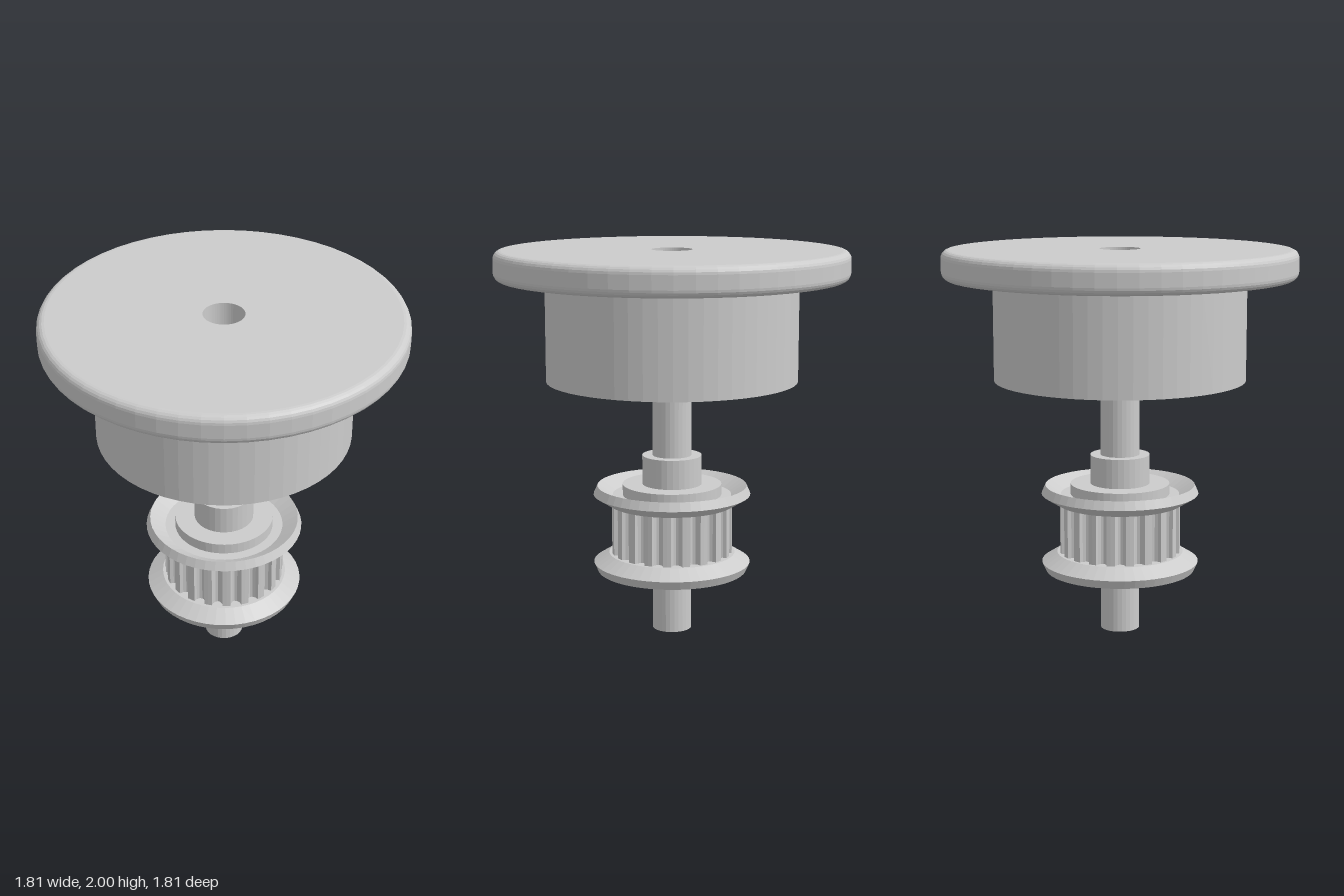
import * as THREE from 'three';

const material = new THREE.MeshStandardMaterial({ color: 0xcccccc, flatShading: true });

// Solid of revolution from [radius, height] points, listed counterclockwise
function turned(name, points, segments) {
  const profile = points.map(([r, y]) => new THREE.Vector2(r, y));
  const mesh = new THREE.Mesh(new THREE.LatheGeometry(profile, segments), material);
  mesh.name = name;
  return mesh;
}

// Points of a quarter-round edge
function fillet(r, y, radius, startAngle, steps = 5) {
  return Array.from({ length: steps + 1 }, (_, i) => {
    const a = startAngle + (i / steps) * Math.PI / 2;
    return [r + radius * Math.cos(a), y + radius * Math.sin(a)];
  });
}

// Toothed belt wheel: a disc with rounded grooves cut around its edge
function createToothedWheel(radius, height, teeth) {
  const shape = new THREE.Shape();
  const pitch = Math.PI * 2 / teeth;
  const halfGroove = pitch * 0.29;
  const depth = 0.038;
  for (let i = 0; i < teeth; i++) {
    const mid = i * pitch;
    for (let k = 0; k <= 6; k++) {
      const t = Math.PI * k / 6;
      const a = mid - halfGroove * Math.cos(t);
      const r = radius - depth * Math.sin(t);
      const x = r * Math.cos(a), y = r * Math.sin(a);
      if (i === 0 && k === 0) shape.moveTo(x, y);
      else shape.lineTo(x, y);
    }
    const crest = mid + pitch / 2;
    shape.lineTo(radius * Math.cos(crest), radius * Math.sin(crest));
  }
  shape.closePath();
  const geometry = new THREE.ExtrudeGeometry(shape, { depth: height, bevelEnabled: false });
  geometry.rotateX(-Math.PI / 2);
  const mesh = new THREE.Mesh(geometry, material);
  mesh.name = 'toothedWheel';
  return mesh;
}

// Dished flange with its raised boss, rising from its lower face at y = 0
function createFlange(name) {
  return turned(name, [
    [0, 0], [0.33, 0], [0.41, 0.05], [0.39, 0.095],
    [0.31, 0.045], [0.258, 0.045], [0.258, 0.102], [0, 0.102],
  ], 48);
}

export function createModel() {
  const model = new THREE.Group();
  model.name = 'knobAndPulley';

  // Rounded cap with a hollow skirt below and a bore through the middle
  model.add(turned('knob', [
    [0.104, 1.49], [0.525, 1.49], [0.525, 1.33], [0.648, 1.33], [0.648, 1.85],
    ...fillet(0.866, 1.89, 0.04, -Math.PI / 2),
    ...fillet(0.866, 1.96, 0.04, 0),
    [0.104, 2], [0.104, 1.49],
  ], 56));

  // Shaft ends inside the bore of the knob
  model.add(turned('shaft', [[0, 0], [0.102, 0], [0.102, 1.7], [0, 1.7]], 28));

  // Pulley
  const pulley = new THREE.Group();
  pulley.name = 'pulley';
  const wheel = createToothedWheel(0.315, 0.28, 20);
  wheel.position.y = 0.41;
  const upperFlange = createFlange('upperFlange');
  upperFlange.position.y = 0.68;
  const lowerFlange = createFlange('lowerFlange');
  lowerFlange.rotation.x = Math.PI;
  lowerFlange.position.y = 0.416;
  const hub = turned('hub', [[0, 0.265], [0.155, 0.265], [0.155, 0.935], [0, 0.935]], 32);
  pulley.add(wheel, upperFlange, lowerFlange, hub);
  model.add(pulley);

  return model;
}
